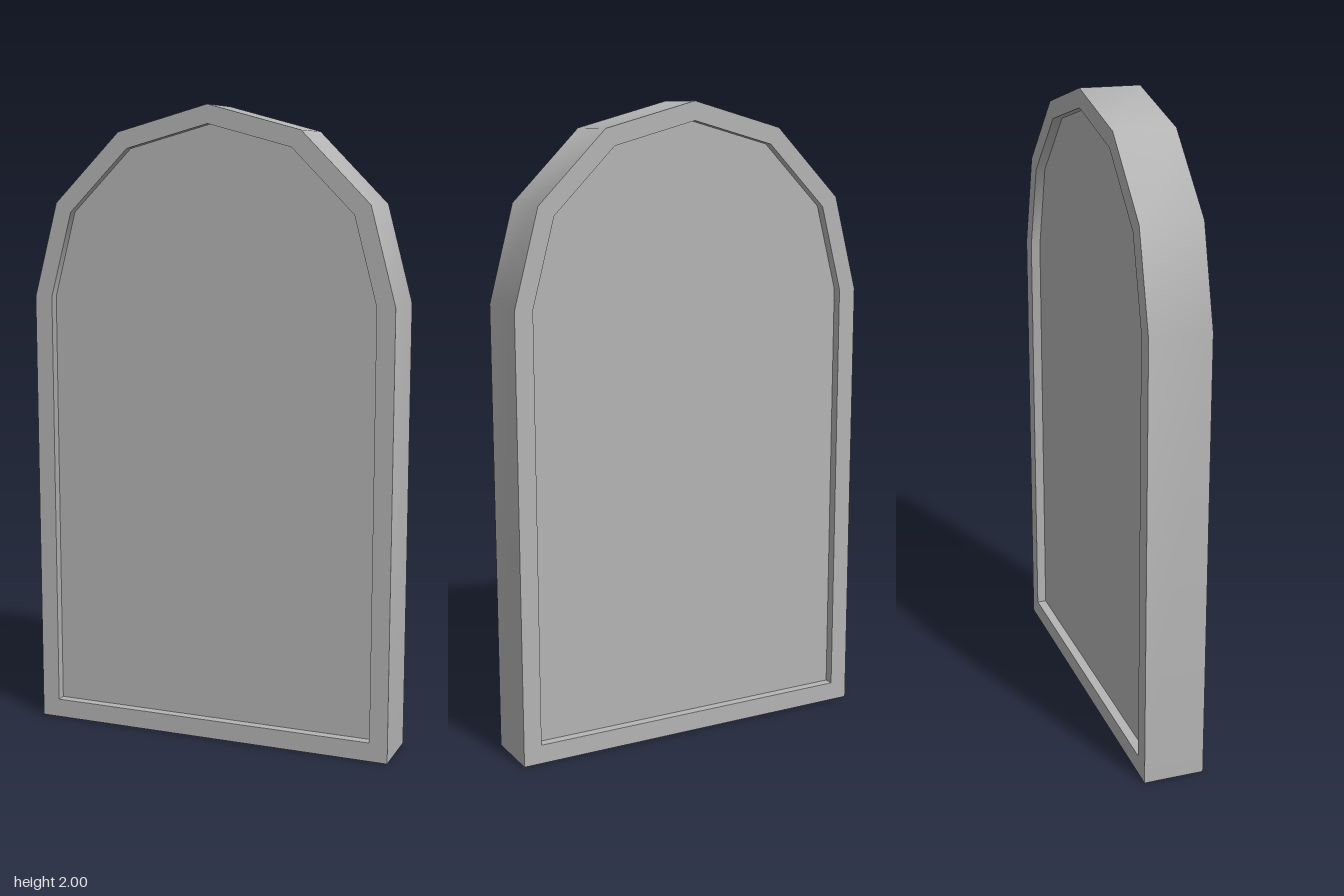
import * as THREE from 'three';
import { toCreasedNormals } from 'three/addons/utils/BufferGeometryUtils.js';

const SPRING = 1.405; // height where the arch begins
const stone = new THREE.MeshStandardMaterial({ color: 0xb4b4b4 });
stone.name = 'grey';

// Arched outline: straight sides and a six-sided half-round top
function archPoints(radius, bottom) {
  const points = [new THREE.Vector2(-radius, bottom), new THREE.Vector2(radius, bottom)];
  for (let i = 0; i <= 6; i++) {
    const a = (i * Math.PI) / 6;
    points.push(new THREE.Vector2(radius * Math.cos(a), SPRING + radius * Math.sin(a)));
  }
  return points;
}

// Extruded slab centred on z = 0, smooth round the arch and sharp at the rims
function slab(name, shape, depth) {
  const geometry = new THREE.ExtrudeGeometry(shape, { depth, bevelEnabled: false });
  geometry.translate(0, 0, -depth / 2);
  const mesh = new THREE.Mesh(toCreasedNormals(geometry, 0.6), stone);
  mesh.name = name;
  return mesh;
}

export function createModel() {
  const group = new THREE.Group();
  group.name = 'archedPanel';

  // Raised rim running round both faces
  const rim = new THREE.Shape(archPoints(0.595, 0));
  rim.holes.push(new THREE.Path(archPoints(0.537, 0.06)));
  group.add(slab('frame', rim, 0.19));

  // Panel recessed on the front and the back
  group.add(slab('recessedPanel', new THREE.Shape(archPoints(0.537, 0.06)), 0.13));

  return group;
}
